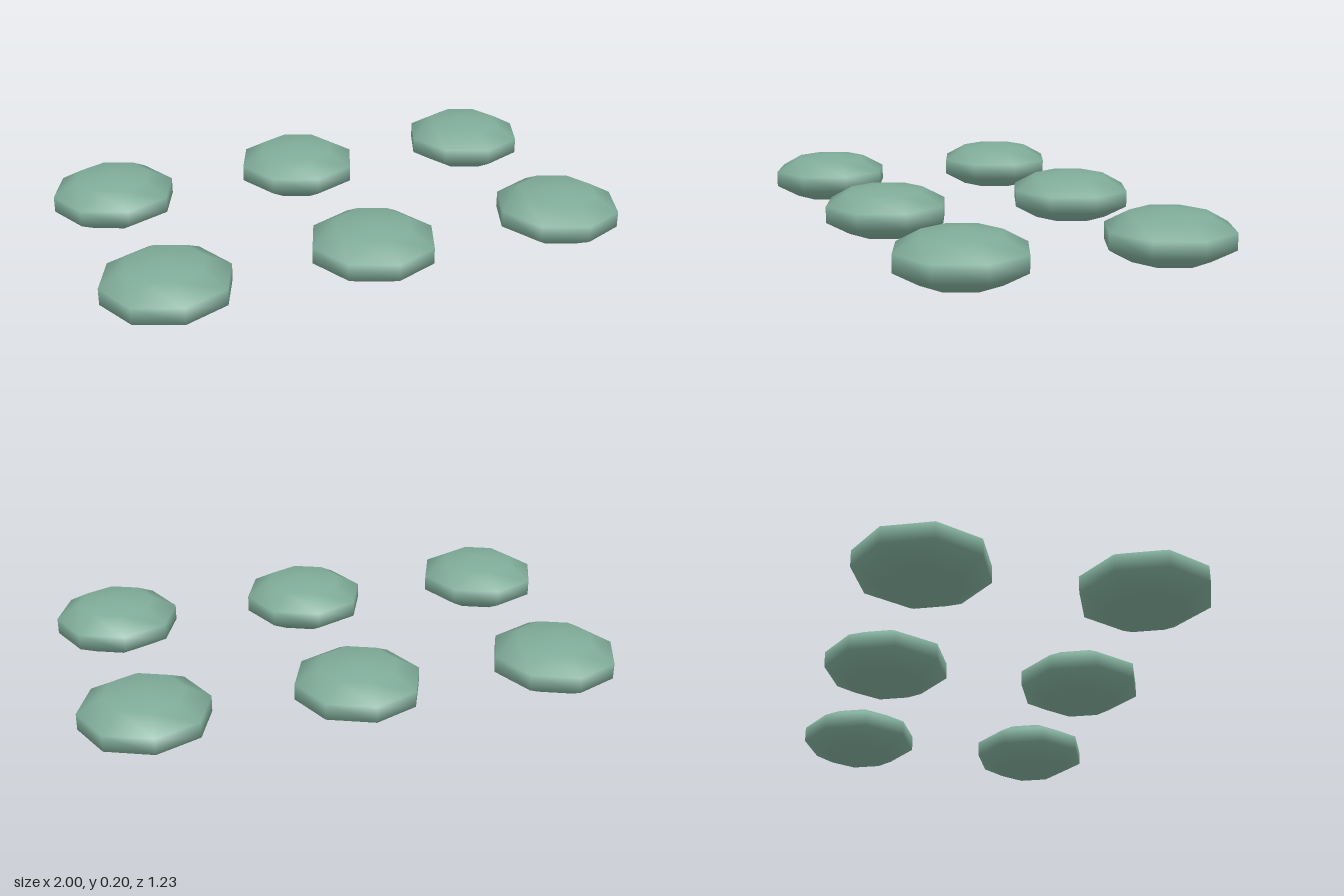
import * as THREE from 'three';

export function createModel() {
  const group = new THREE.Group();
  group.name = 'pebbleGrid';
  const sageGreen = new THREE.MeshStandardMaterial({ color: 0x7fab99 });
  sageGreen.name = 'sageGreen';

  // One smooth, eight-sided ball, flattened into a pebble
  const radius = 0.246, flatten = 0.4, spacing = 0.766;
  const pebbleShape = new THREE.SphereGeometry(radius, 8, 5);

  // Two rows of three pebbles
  for (const row of [-0.5, 0.5]) {
    for (const column of [-1, 0, 1]) {
      const pebble = new THREE.Mesh(pebbleShape, sageGreen);
      pebble.name = 'pebble';
      pebble.scale.y = flatten;
      pebble.position.set(column * spacing, radius * flatten, row * spacing);
      group.add(pebble);
    }
  }
  return group;
}
